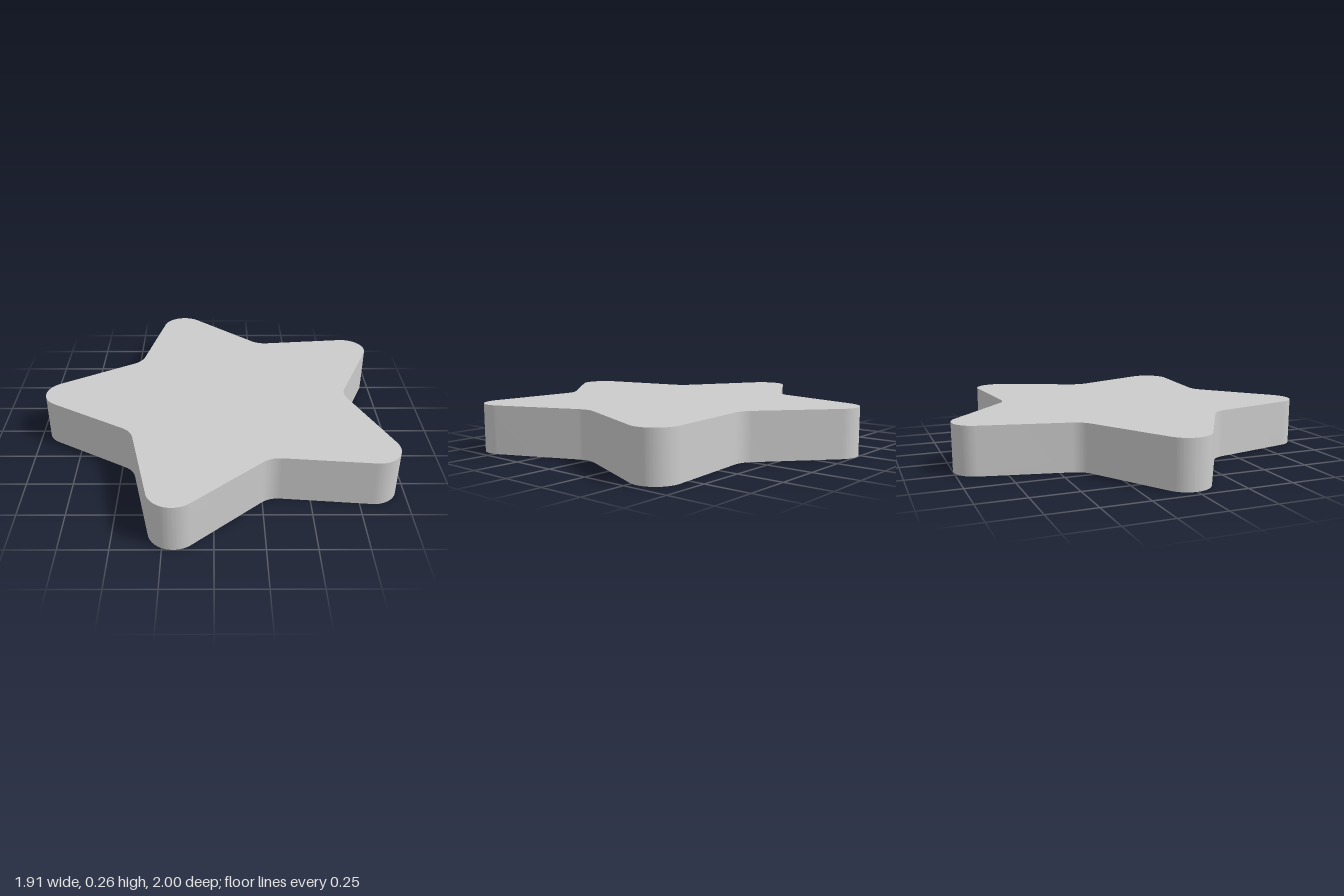
import * as THREE from 'three';
import { toCreasedNormals } from 'three/addons/utils/BufferGeometryUtils.js';

const HEIGHT = 0.26;
const ROUND = 0.13; // radius of both the tip and the valley rounding
const TIP = (1 - ROUND) / Math.sin(Math.PI * 0.4); // star centre to tip arc centre
const VALLEY = 0.649; // star centre to the unrounded valley corner
const STEP = Math.PI / 5;

// Five-pointed outline with tangent arcs at tips and valleys
function starShape() {
  const dx = TIP - VALLEY * Math.cos(STEP);
  const dy = VALLEY * Math.sin(STEP);
  const slope = Math.atan2(dy, dx) - Math.asin(ROUND / Math.hypot(dx, dy));
  const tipSpan = Math.PI / 2 - slope;
  const valleySpan = Math.PI / 2 - slope - STEP;
  const valleyCentre = VALLEY + ROUND / Math.cos(valleySpan);

  const shape = new THREE.Shape();
  for (let i = 0; i < 5; i++) {
    const a = Math.PI + i * 2 * STEP;
    const b = a + STEP;
    shape.absarc(TIP * Math.cos(a), TIP * Math.sin(a), ROUND, a - tipSpan, a + tipSpan, false);
    shape.absarc(valleyCentre * Math.cos(b), valleyCentre * Math.sin(b), ROUND,
      b + Math.PI + valleySpan, b + Math.PI - valleySpan, true);
  }
  return shape;
}

export function createModel() {
  const group = new THREE.Group();
  group.name = 'star';

  // Flat slab lying on the ground, one point towards -x
  const geometry = new THREE.ExtrudeGeometry(starShape(), {
    depth: HEIGHT, bevelEnabled: false, curveSegments: 20,
  });
  geometry.rotateX(-Math.PI / 2);
  geometry.translate(TIP * (1 - Math.cos(STEP)) / 2, 0, 0);

  const slab = new THREE.Mesh(
    toCreasedNormals(geometry, 0.6),
    new THREE.MeshStandardMaterial({ color: 0xcccccc }),
  );
  slab.name = 'starSlab';
  group.add(slab);
  return group;
}
